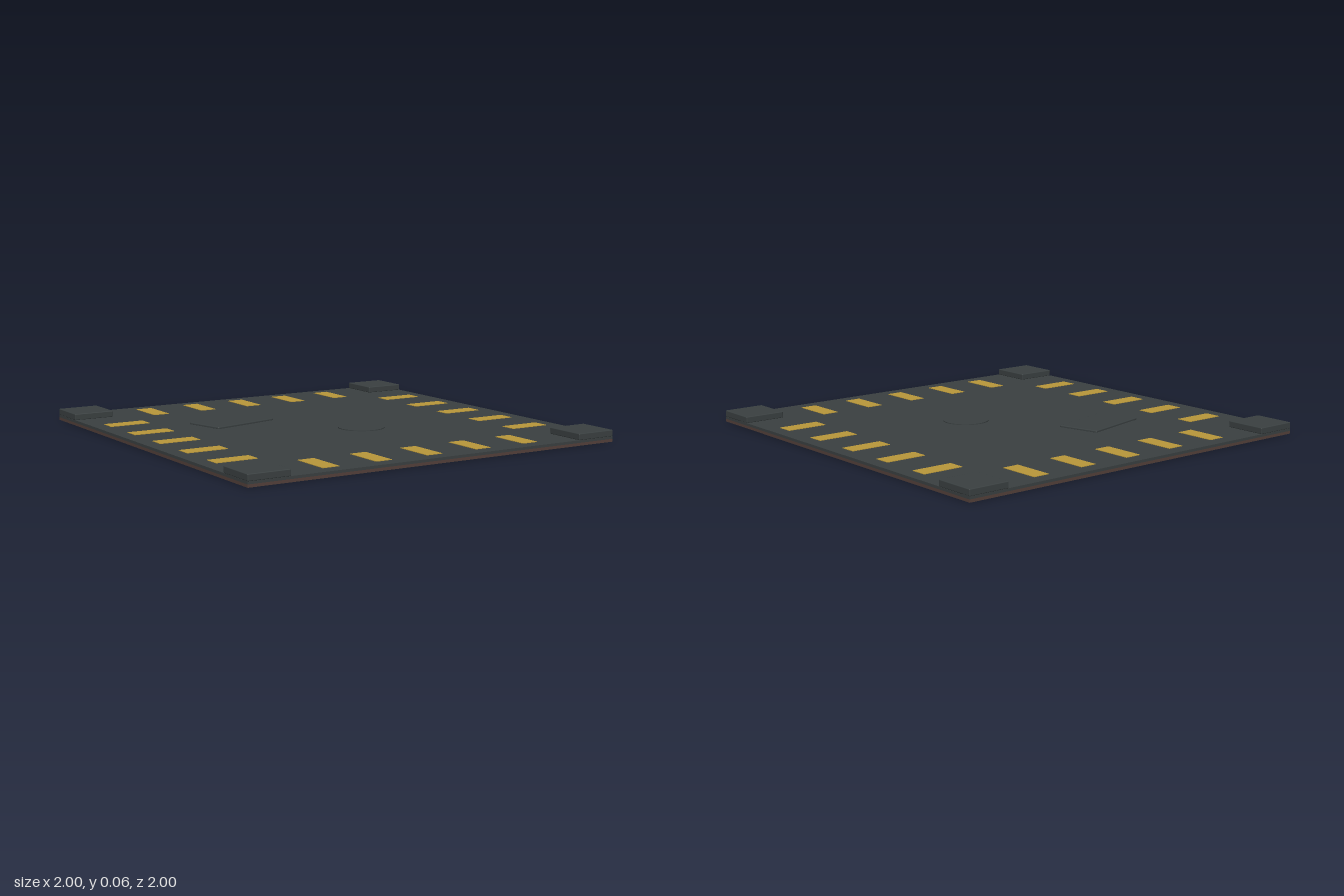
import * as THREE from 'three';
import { RoundedBoxGeometry } from 'three/addons/geometries/RoundedBoxGeometry.js';

export function createModel() {
  const model = new THREE.Group();
  model.name = 'floorTile';

  const material = (name, color) => {
    const m = new THREE.MeshStandardMaterial({ color });
    m.name = name;
    return m;
  };
  const slate = material('slate', 0x3a4041);
  const gold = material('gold', 0xb9973a);
  const brown = material('brown', 0x53403a);

  const add = (name, geometry, mat, x, y, z) => {
    const mesh = new THREE.Mesh(geometry, mat);
    mesh.name = name;
    mesh.position.set(x, y, z);
    model.add(mesh);
    return mesh;
  };

  // Thin backing with the slate slab on top
  add('backing', new THREE.BoxGeometry(2, 0.014, 2), brown, 0, 0.007, 0);
  add('slab', new THREE.BoxGeometry(2, 0.013, 2), slate, 0, 0.0205, 0);

  // Raised corner blocks with softened edges
  const cornerGeometry = new RoundedBoxGeometry(0.21, 0.032, 0.21, 2, 0.004);
  for (const sx of [-1, 1]) {
    for (const sz of [-1, 1]) {
      add('cornerBlock', cornerGeometry, slate, sx * 0.895, 0.042, sz * 0.895);
    }
  }

  // Five gold inlays along each of the four edges
  const inlayGeometry = new THREE.BoxGeometry(0.085, 0.004, 0.21);
  for (let side = 0; side < 4; side++) {
    const angle = (side * Math.PI) / 2;
    for (let i = -2; i <= 2; i++) {
      const position = new THREE.Vector3(i * 0.275, 0.0275, 0.825)
        .applyAxisAngle(new THREE.Vector3(0, 1, 0), angle);
      const inlay = add('goldInlay', inlayGeometry, gold, position.x, position.y, position.z);
      inlay.rotation.y = angle;
    }
  }

  // Tilted rectangular plate and low round disc
  const plate = add('raisedPlate', new RoundedBoxGeometry(0.375, 0.014, 0.215, 2, 0.005),
    slate, -0.353, 0.03, -0.32);
  plate.rotation.y = 0.25;
  add('lowDisc', new THREE.CylinderGeometry(0.115, 0.115, 0.008, 32), slate, 0.115, 0.027, 0.155);

  return model;
}
